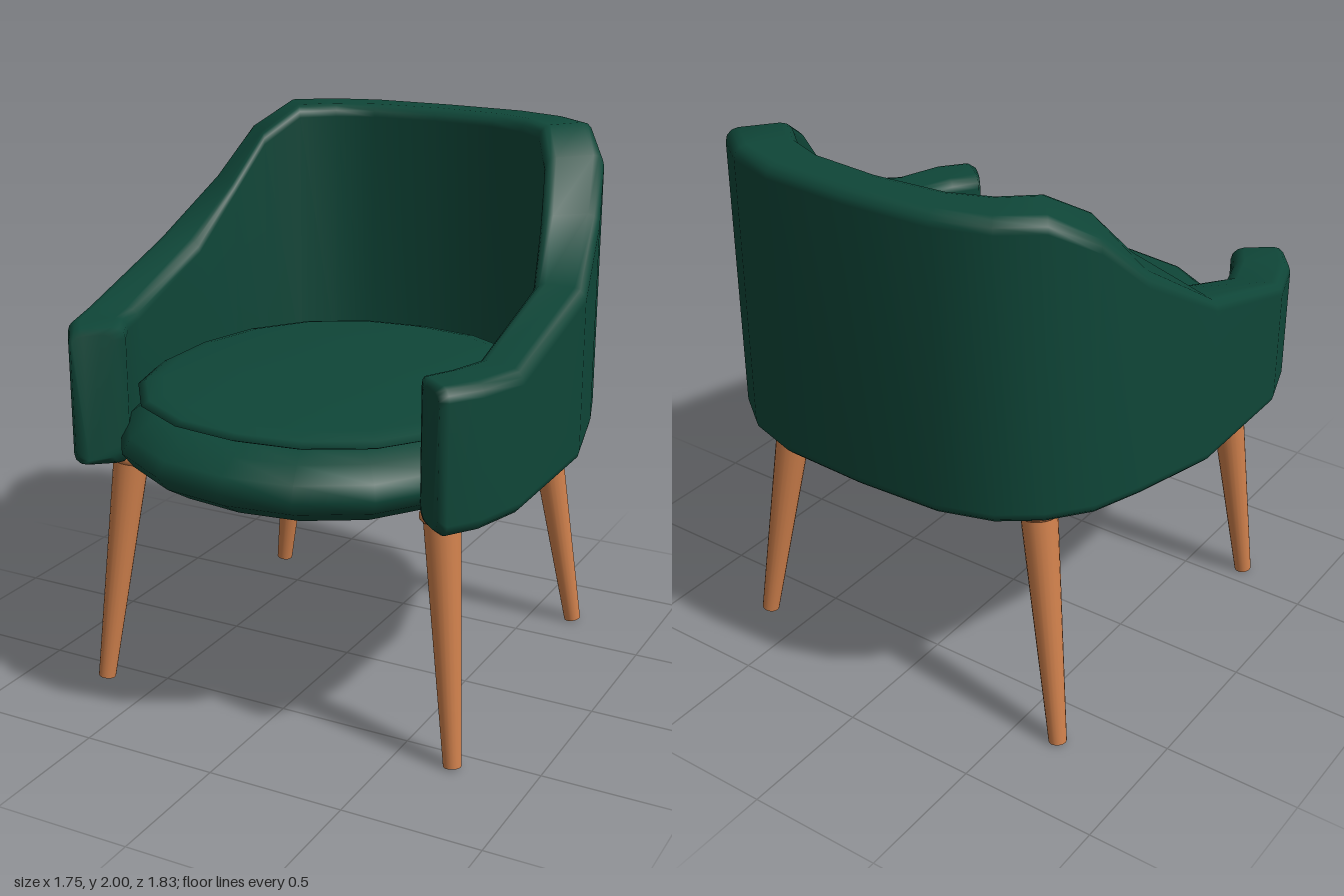
import * as THREE from 'three';
import { mergeVertices } from 'three/addons/utils/BufferGeometryUtils.js';

const upholstery = new THREE.MeshStandardMaterial({ color: 0x0f4638 });
upholstery.name = 'green upholstery';
const wood = new THREE.MeshStandardMaterial({ color: 0xcf804c });
wood.name = 'warm wood';

const V2 = (x, y) => new THREE.Vector2(x, y);

function part(name, geometry, material) {
  const mesh = new THREE.Mesh(geometry, material);
  mesh.name = name;
  return mesh;
}

// Stations from the arm tip to the middle of the back:
// outer x, z, inner x, z, bottom y, top y
const STATIONS = [
  [0.70, 0.722, 0.59, 0.612, 0.905, 1.365],
  [0.725, 0.70, 0.57, 0.575, 0.882, 1.385],
  [0.80, 0.60, 0.625, 0.48, 0.885, 1.387],
  [0.86, 0.42, 0.665, 0.35, 0.89, 1.387],
  [0.875, -0.09, 0.68, -0.09, 0.907, 1.54],
  [0.80, -0.41, 0.63, -0.27, 0.918, 1.735],
  [0.74, -0.60, 0.58, -0.42, 0.924, 1.91],
  [0.64, -0.74, 0.50, -0.56, 0.928, 2.0],
  [0.51, -0.84, 0.39, -0.655, 0.93, 2.0],
  [0.32, -0.90, 0.25, -0.71, 0.93, 2.0],
  [0, -0.915, 0, -0.73, 0.93, 2.0],
];

// Rounded upright section: up the outside, over the top, down the inside
function section([ox, oz, ix, iz, y0, y1]) {
  const width = Math.hypot(ox - ix, oz - iz);
  const r = Math.min(0.045, width * 0.3);
  const corners = [
    [width - r, y0 + r, -90], [width - r, y1 - r, 0],
    [r, y1 - r, 90], [r, y0 + r, 180],
  ];
  const loop = [];
  for (const [u, y, start] of corners) {
    for (let k = 0; k < 4; k++) {
      const a = THREE.MathUtils.degToRad(start + k * 30);
      const t = (u + r * Math.cos(a)) / width;
      loop.push([ix + (ox - ix) * t, y + r * Math.sin(a), iz + (oz - iz) * t]);
    }
  }
  return loop;
}

// Loft the sections round the seat and close both arm ends
function shellGeometry() {
  const mirrored = STATIONS.slice(0, -1).reverse()
    .map(([ox, oz, ix, iz, a, b]) => [-ox, oz, -ix, iz, a, b]);
  const loops = [...STATIONS, ...mirrored].map(section);
  const n = loops[0].length;
  const positions = loops.flat(2);
  const index = [];
  for (let i = 0; i < loops.length - 1; i++) {
    for (let j = 0; j < n; j++) {
      const k = (j + 1) % n;
      const a = i * n + j, b = a + n, c = i * n + k, d = c + n;
      index.push(a, b, c, b, d, c);
    }
  }
  const last = (loops.length - 1) * n;
  for (let j = 1; j < n - 1; j++) {
    index.push(0, j, j + 1, last, last + j + 1, last + j);
  }
  const geo = new THREE.BufferGeometry();
  geo.setAttribute('position', new THREE.Float32BufferAttribute(positions, 3));
  geo.setIndex(index);
  geo.computeVertexNormals();
  return geo;
}

// Turned pad, pushed from a circle to a slightly squared oval
function padGeometry(profile, rx, rz, cz, power) {
  let geo = new THREE.LatheGeometry(profile.map(([r, y]) => V2(r, y)), 18);
  const p = geo.attributes.position;
  for (let i = 0; i < p.count; i++) {
    const x = p.getX(i), z = p.getZ(i);
    const r = Math.hypot(x, z);
    // The centre point has no direction, so it keeps its place
    const f = r < 1e-6 ? 1
      : (Math.abs(x / r) ** power + Math.abs(z / r) ** power) ** (-1 / power);
    p.setX(i, x * f * rx);
    p.setZ(i, z * f * rz + cz);
  }
  geo.deleteAttribute('normal');
  geo.deleteAttribute('uv');
  geo = mergeVertices(geo, 1e-4);
  geo.computeVertexNormals();
  return geo;
}

// Tapered leg with a ring near its top, tilted from top to foot
function leg(name, top, foot, ringDrop, ringRadius) {
  const group = new THREE.Group();
  group.name = name;
  const axis = top.clone().sub(foot);
  const length = axis.length();
  const post = part(name + 'Post', new THREE.CylinderGeometry(0.066, 0.032, length, 20), wood);
  post.position.y = length / 2;
  const ring = part(name + 'Collar', new THREE.LatheGeometry([
    V2(0.05, -0.022), V2(0.068, -0.02), V2(ringRadius, -0.008),
    V2(ringRadius, 0.008), V2(0.068, 0.02), V2(0.05, 0.022),
  ], 20), wood);
  ring.position.y = length - ringDrop;
  group.add(post, ring);
  group.position.copy(foot);
  group.quaternion.setFromUnitVectors(new THREE.Vector3(0, 1, 0), axis.normalize());
  return group;
}

export function createModel() {
  const chair = new THREE.Group();
  chair.name = 'armchair';

  // Wraparound back and arms
  chair.add(part('backAndArms', shellGeometry(), upholstery));

  // Deep seat base with a rounded front
  chair.add(part('seatBase', padGeometry([
    [0, 0.796], [0.3, 0.803], [0.65, 0.828], [0.84, 0.868], [0.95, 0.925],
    [1, 0.98], [0.96, 1.03], [0.88, 1.075], [0.78, 1.105], [0, 1.115],
  ], 0.735, 0.83, 0.08, 2.25), upholstery));

  // Thin top cushion
  chair.add(part('seatCushion', padGeometry([
    [0, 1.105], [0.88, 1.11], [0.96, 1.122], [1, 1.135],
    [0.96, 1.15], [0.88, 1.165], [0.5, 1.182], [0, 1.188],
  ], 0.685, 0.75, 0.065, 2.25), upholstery));

  // Splayed legs
  for (const [side, s] of [['left', 1], ['right', -1]]) {
    chair.add(leg(side + 'FrontLeg', new THREE.Vector3(0.615 * s, 0.9, 0.5),
      new THREE.Vector3(0.712 * s, 0.004, 0.588), 0.022, 0.077));
    chair.add(leg(side + 'BackLeg', new THREE.Vector3(0.525 * s, 0.925, -0.612),
      new THREE.Vector3(0.668 * s, 0.005, -0.688), 0.04, 0.083));
  }
  return chair;
}
